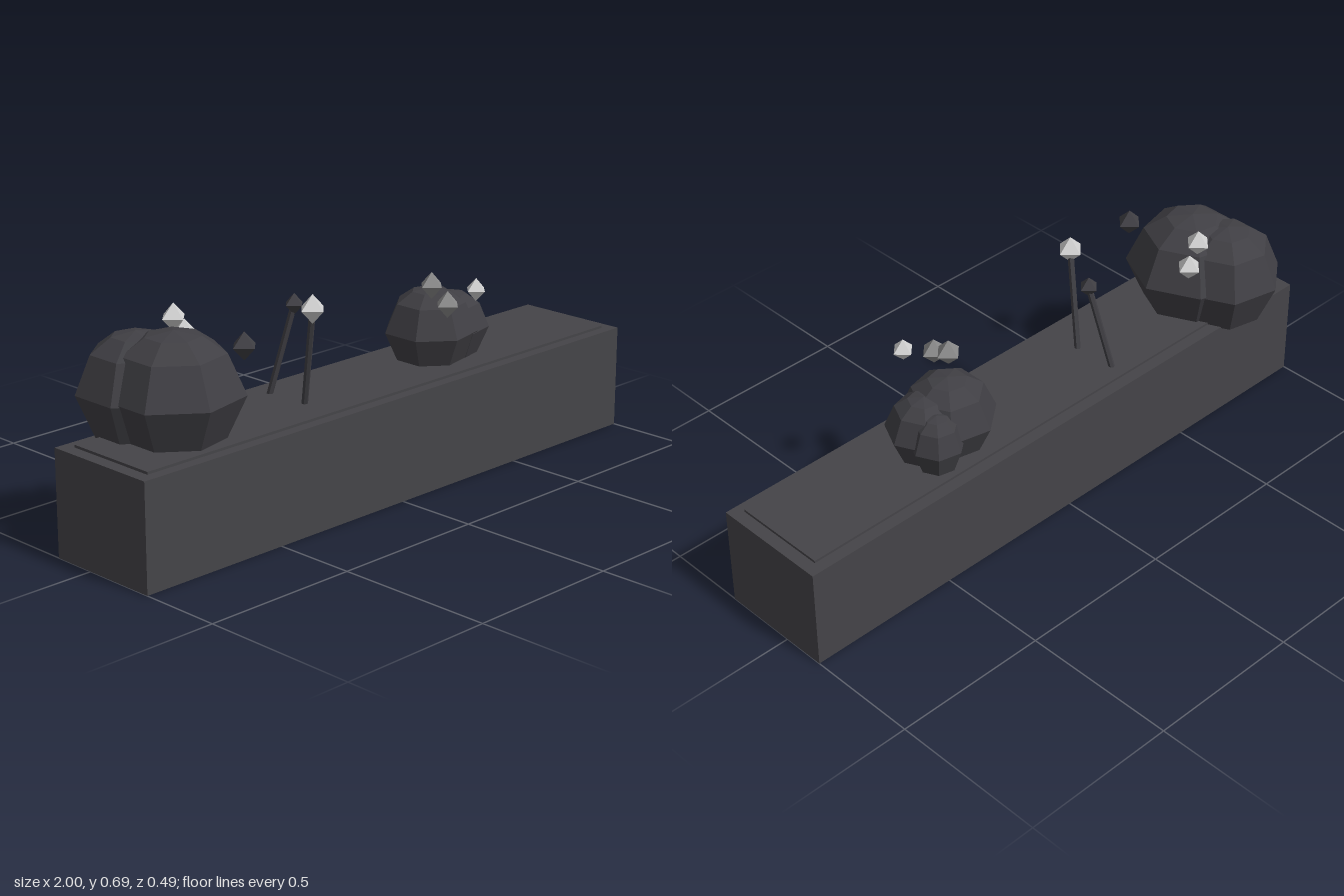
import * as THREE from 'three';

const flat = (name, color) => new THREE.MeshStandardMaterial({ name, color, flatShading: true });

export function createModel() {
  const group = new THREE.Group();
  const charcoal = flat('charcoal', 0x454448);
  const leaf = flat('dark leaf', 0x403f44);
  const pale = flat('pale petal', 0xd2d2d2);
  const grey = flat('grey petal', 0x8a8a8a);

  const add = (name, geometry, material, x, y, z) => {
    const mesh = new THREE.Mesh(geometry, material);
    mesh.name = name;
    mesh.position.set(x, y, z);
    group.add(mesh);
    return mesh;
  };

  // planter trough and the slightly raised soil bed
  add('planterBox', new THREE.BoxGeometry(2, 0.328, 0.38), charcoal, 0, 0.164, 0.05);
  add('soil', new THREE.BoxGeometry(1.92, 0.02, 0.308), charcoal, 0, 0.326, 0.052);

  // bushes: seven-sided faceted balls, r = widest radius, h = height above the widest ring
  const bush = (name, x, y, z, r, h) => {
    const profile = [[0, -1], [0.68, -0.78], [1, 0], [0.74, 0.66], [0.4, 0.92], [0, 1]]
      .map(([a, b]) => new THREE.Vector2(a * r, b * h));
    const geometry = new THREE.LatheGeometry(profile, 7).rotateY(Math.PI / 2);
    add(name, geometry, leaf, x, y, z);
  };
  bush('largeBushFront', -0.715, 0.462, 0.04, 0.205, 0.182);
  bush('largeBushBack', -0.757, 0.457, -0.07, 0.178, 0.172);
  bush('smallBushMain', 0.325, 0.425, 0.04, 0.147, 0.135);
  bush('smallBushSide', 0.415, 0.42, 0.045, 0.118, 0.112);
  bush('smallBushBack', 0.43, 0.41, -0.025, 0.084, 0.1);

  // octahedral blossoms
  const blossom = (material, x, y, z, r = 0.042) =>
    add('blossom', new THREE.OctahedronGeometry(r), material, x, y, z);
  blossom(pale, -0.615, 0.637, -0.073);
  blossom(pale, -0.565, 0.577, -0.085);
  blossom(leaf, -0.588, 0.603, 0.19);
  blossom(grey, 0.267, 0.587, 0.098);
  blossom(grey, 0.255, 0.545, 0.175);
  blossom(pale, 0.346, 0.58, 0.207, 0.036);

  // leaning stems with a blossom on top
  const stem = (material, from, to, r) => {
    const a = new THREE.Vector3(...from), b = new THREE.Vector3(...to);
    const dir = b.clone().sub(a);
    const mid = a.clone().add(b).multiplyScalar(0.5);
    const mesh = add('stem', new THREE.CylinderGeometry(0.01, 0.01, dir.length(), 6), leaf, mid.x, mid.y, mid.z);
    mesh.quaternion.setFromUnitVectors(new THREE.Vector3(0, 1, 0), dir.normalize());
    blossom(material, ...to, r);
  };
  stem(pale, [-0.262, 0.33, 0.09], [-0.303, 0.645, 0.167], 0.044);
  stem(leaf, [-0.27, 0.33, -0.05], [-0.232, 0.615, 0.018], 0.033);

  return group;
}
